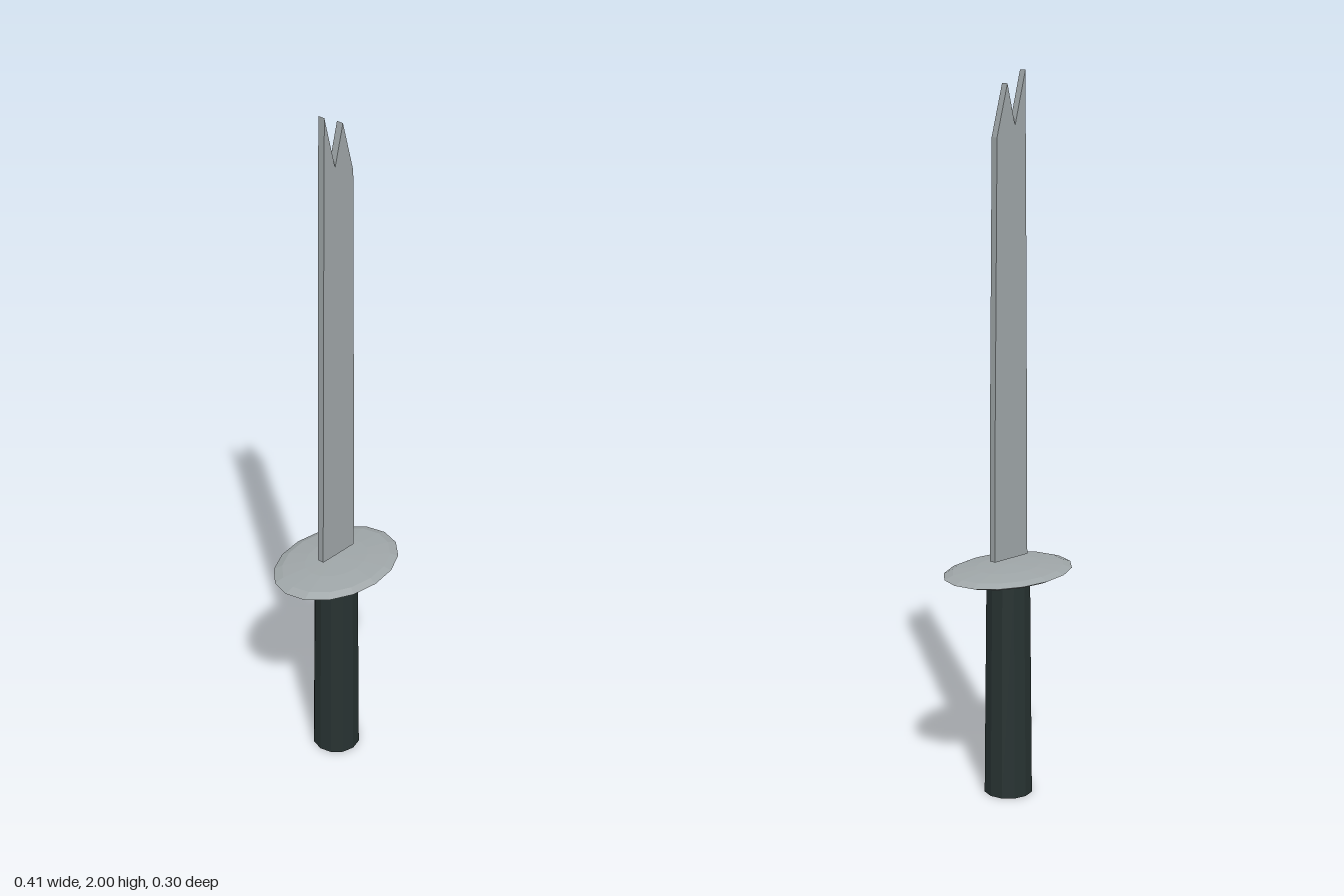
import * as THREE from 'three';

export function createModel() {
  const group = new THREE.Group();
  group.name = 'sword';
  const steel = new THREE.MeshStandardMaterial({ color: 0x9ea5a7, flatShading: true });
  steel.name = 'steel';
  const grip = new THREE.MeshStandardMaterial({ color: 0x273231, flatShading: true });
  grip.name = 'dark grip';

  const add = (name, geometry, material, y = 0) => {
    const mesh = new THREE.Mesh(geometry, material);
    mesh.name = name;
    mesh.position.y = y;
    group.add(mesh);
    return mesh;
  };

  // Faceted handle, slightly wider at the pommel
  add('handle', new THREE.CylinderGeometry(0.062, 0.069, 0.636, 12), grip, 0.318);

  // Flattened oval guard
  const guard = add('guard', new THREE.SphereGeometry(1, 16, 6), steel, 0.646);
  guard.scale.set(0.203, 0.019, 0.149);

  // Flat blade with a notched, broken tip, floating just above the guard
  const outline = [
    [-0.064, 0.683], [0.061, 0.683], [0.06, 1.0], [0.051, 1.83],
    [0.013, 1.967], [-0.015, 1.858], [-0.053, 2.0], [-0.059, 1.4],
  ].map(([x, y]) => new THREE.Vector2(x, y));
  const blade = new THREE.ExtrudeGeometry(new THREE.Shape(outline), { depth: 0.02, bevelEnabled: false });
  blade.translate(0, 0, -0.01);
  add('blade', blade, steel);

  return group;
}
